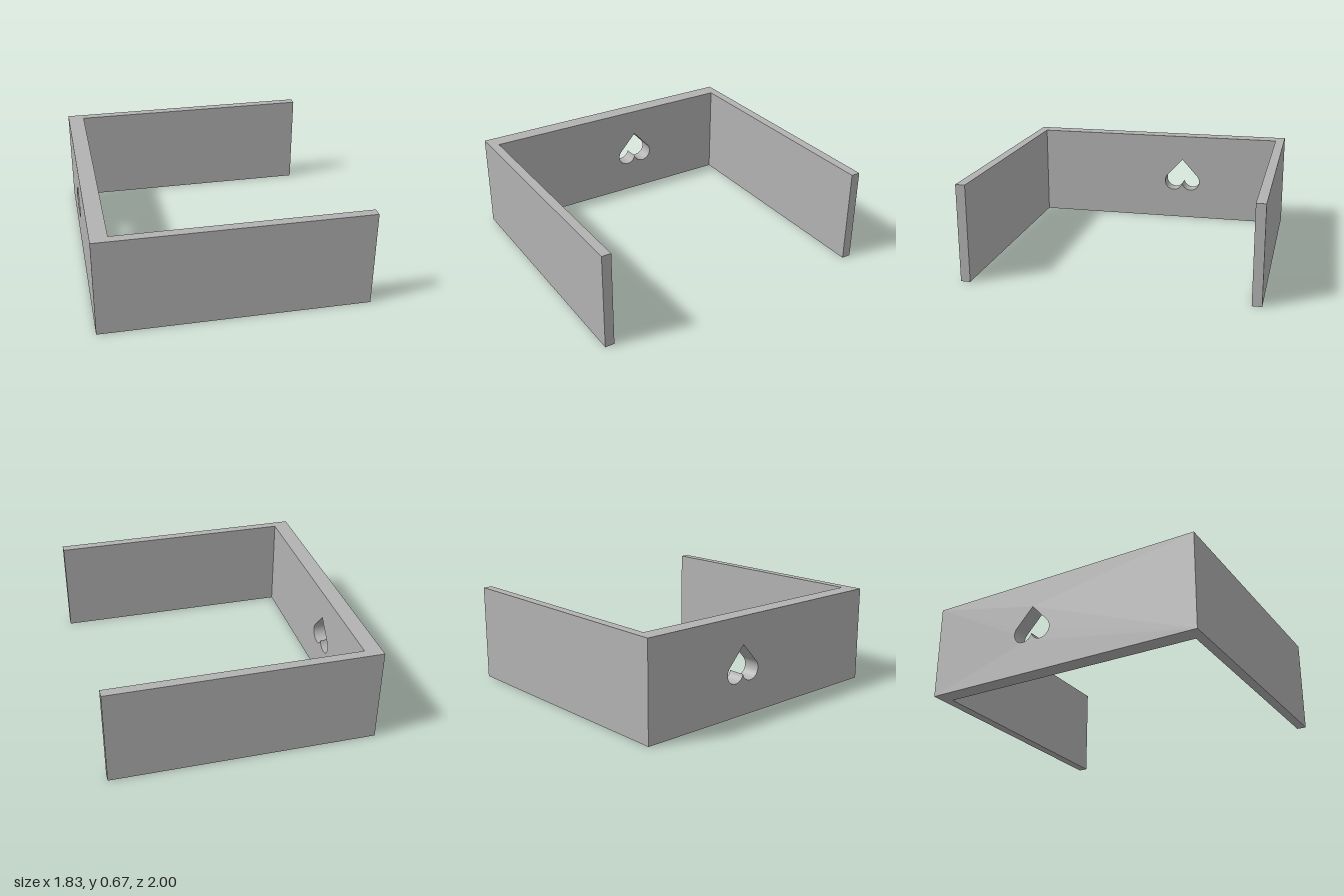
import * as THREE from 'three';

const HEIGHT = 0.67, HALF_X = 0.915, HALF_Z = 1;
const WALL = 0.115, ARM = 0.065;

// Upside-down heart: two overlapping round lobes with tangents up to a point
function heartPath(cx, lobeY, tipY, offset, r) {
  const rise = tipY - lobeY;
  const tangent = Math.atan2(rise, -offset) - Math.acos(r / Math.hypot(offset, rise));
  const cusp = Math.acos(offset / r);
  const path = new THREE.Path();
  path.moveTo(cx, tipY);
  path.lineTo(cx + offset + r * Math.cos(tangent), lobeY + r * Math.sin(tangent));
  path.absarc(cx + offset, lobeY, r, tangent, cusp - Math.PI, true);
  path.absarc(cx - offset, lobeY, r, -cusp, -Math.PI - tangent, true);
  path.closePath();
  return path;
}

export function createModel() {
  const group = new THREE.Group();
  const grey = new THREE.MeshStandardMaterial({ color: 0xb2b2b2 });
  grey.name = 'plain grey';

  // Thick end wall with the heart cut through it
  const outline = new THREE.Shape();
  outline.moveTo(-HALF_Z, 0);
  outline.lineTo(HALF_Z, 0);
  outline.lineTo(HALF_Z, HEIGHT);
  outline.lineTo(-HALF_Z, HEIGHT);
  outline.closePath();
  outline.holes.push(heartPath(-0.2, 0.3, 0.48, 0.0685, 0.0708));
  const wallGeometry = new THREE.ExtrudeGeometry(outline, {
    depth: WALL, bevelEnabled: false, curveSegments: 32,
  });
  wallGeometry.rotateY(-Math.PI / 2);
  wallGeometry.translate(-HALF_X + WALL, 0, 0);
  const wall = new THREE.Mesh(wallGeometry, grey);
  wall.name = 'heartWall';
  group.add(wall);

  // Two thin side panels reaching out from the wall
  const length = 2 * HALF_X - WALL;
  for (const [name, side] of [['frontPanel', 1], ['backPanel', -1]]) {
    const panel = new THREE.Mesh(new THREE.BoxGeometry(length, HEIGHT, ARM), grey);
    panel.position.set(WALL / 2, HEIGHT / 2, side * (HALF_Z - ARM / 2));
    panel.name = name;
    group.add(panel);
  }
  return group;
}
